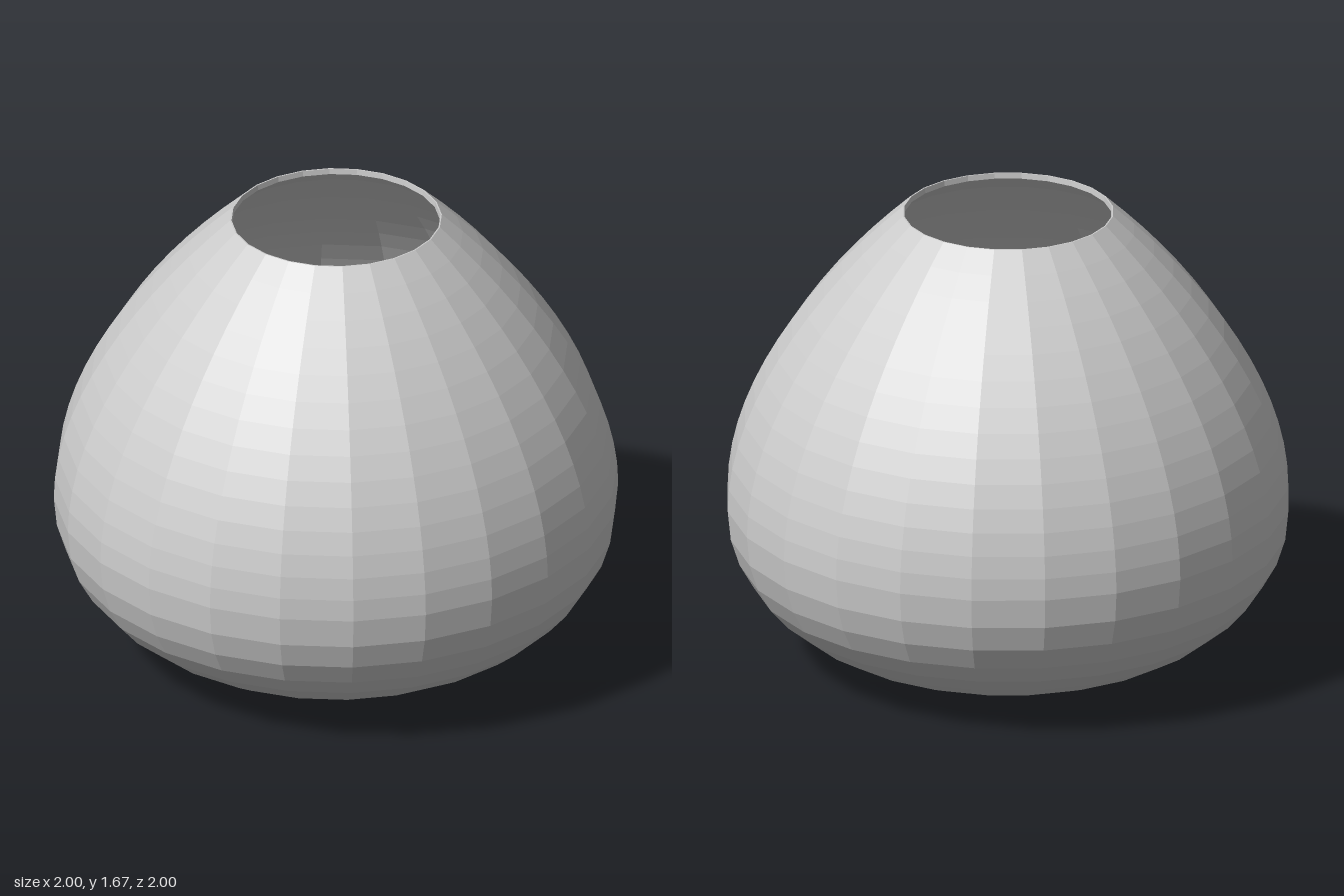
import * as THREE from 'three';

const SIDES = 24;
const WALL = 0.013;
const v = (x, y) => new THREE.Vector2(x, y);

export function createModel() {
  const group = new THREE.Group();
  group.name = 'vase';
  const clay = new THREE.MeshStandardMaterial({ color: 0xcccccc, flatShading: true });
  clay.name = 'pale grey clay';

  function turn(name, points, sides) {
    const mesh = new THREE.Mesh(new THREE.LatheGeometry(points, sides), clay);
    mesh.name = name;
    group.add(mesh);
  }

  // Side profile: rounded base up to the belly, then shoulder up to the mouth
  const base = new THREE.CubicBezierCurve(v(0.24, 0), v(0.62, 0), v(1, 0.2), v(1, 0.58));
  const shoulder = new THREE.CubicBezierCurve(v(1, 0.58), v(1, 0.95), v(0.73, 1.35), v(0.375, 1.67));
  const outer = [];
  const inner = [];
  function sample(curve, steps, first) {
    for (let i = first; i <= steps; i++) {
      const p = curve.getPoint(i / steps);
      const t = curve.getTangent(i / steps);
      outer.push(p);
      inner.unshift(v(p.x - t.y * WALL, p.y + t.x * WALL));
    }
  }
  sample(base, 10, 0);
  sample(shoulder, 14, 1);
  // Short upright lip inside the mouth
  inner[0].set(0.368, 1.65);

  // Thin-walled body, closed underneath and open on top
  turn('body', [v(0, 0), ...outer, v(0.37, 1.67), ...inner, v(0, WALL)], SIDES);

  // Small hollow cup standing on the inside floor
  turn('innerCup', [v(0.09, WALL), v(0.09, 0.1), v(0.08, 0.1), v(0.06, 0.05), v(0.03, 0.03), v(0, 0.03)], SIDES);

  return group;
}
